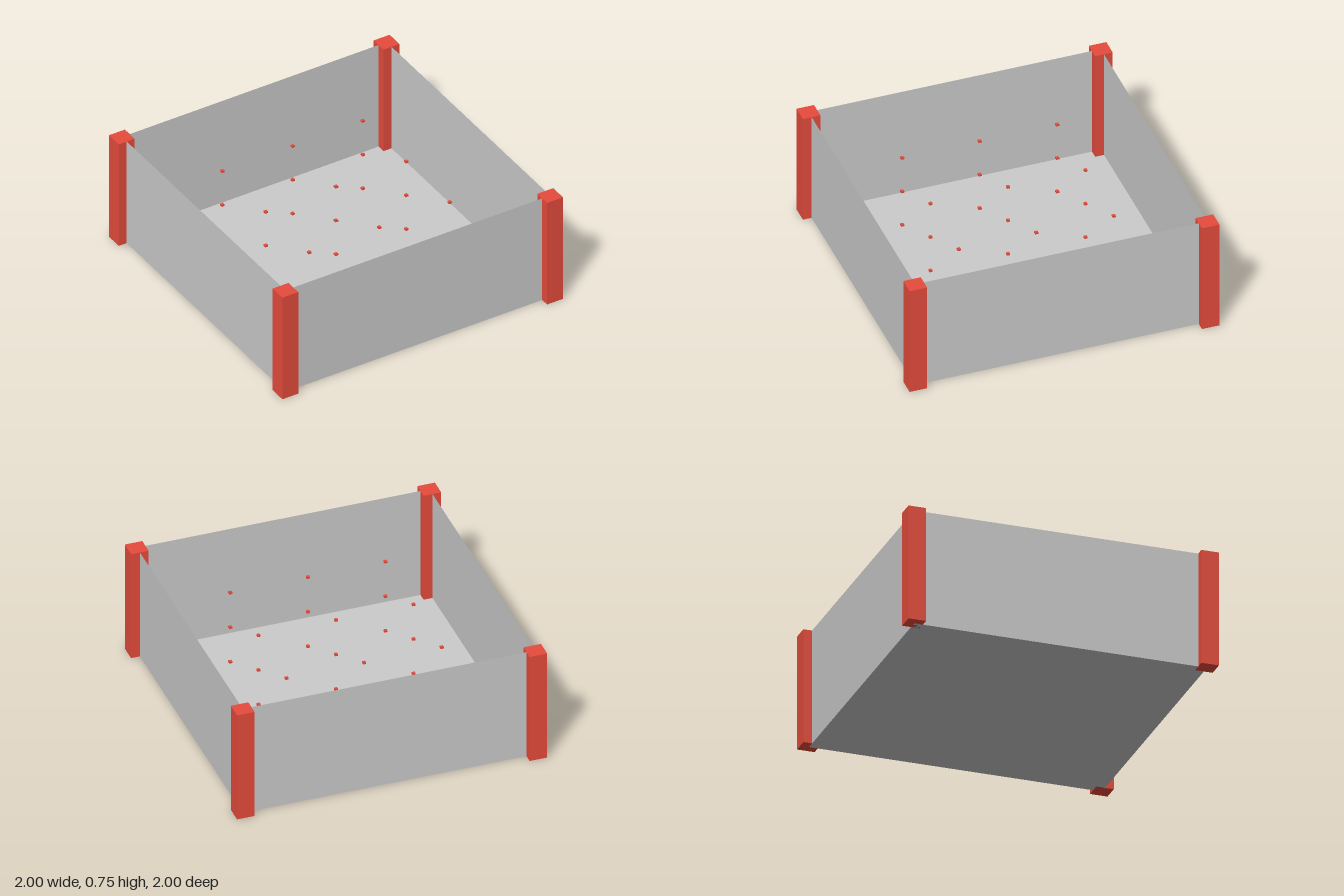
import * as THREE from 'three';

const HALF = 0.943;   // distance from centre to each wall
const HEIGHT = 0.755;
const POST = 0.113;

export function createModel() {
  const model = new THREE.Group();
  const grey = new THREE.MeshStandardMaterial({ color: 0xcccccc, side: THREE.DoubleSide });
  const red = new THREE.MeshStandardMaterial({ color: 0xe74c3c, flatShading: true });

  const add = (name, geometry, material, x, y, z, parent = model) => {
    const mesh = new THREE.Mesh(geometry, material);
    mesh.name = name;
    mesh.position.set(x, y, z);
    parent.add(mesh);
    return mesh;
  };

  // Thin floor sheet, facing up
  add('floor', new THREE.PlaneGeometry(2 * HALF, 2 * HALF), grey, 0, 0, 0).rotation.x = -Math.PI / 2;

  // Four thin walls, each facing outward
  const wallGeometry = new THREE.PlaneGeometry(2 * HALF, HEIGHT);
  ['frontWall', 'leftWall', 'backWall', 'rightWall'].forEach((name, i) => {
    const angle = i * Math.PI / 2;
    add(name, wallGeometry, grey, HALF * Math.sin(angle), HEIGHT / 2, HALF * Math.cos(angle)).rotation.y = angle;
  });

  // Square corner posts
  const postGeometry = new THREE.BoxGeometry(POST, HEIGHT, POST);
  for (const x of [-HALF, HALF]) {
    for (const z of [-HALF, HALF]) {
      const name = (z > 0 ? 'front' : 'back') + (x > 0 ? 'Left' : 'Right') + 'Post';
      add(name, postGeometry, red, x, HEIGHT / 2, z);
    }
  }

  // Three layers of tiny floating markers, nine in each
  const markers = new THREE.Group();
  markers.name = 'markers';
  model.add(markers);
  const markerGeometry = new THREE.BoxGeometry(0.02, 0.012, 0.02);
  for (const y of [0.102, 0.353, 0.604]) {
    for (const x of [-0.5, 0, 0.5]) {
      for (const z of [-0.5, 0, 0.5]) add('marker', markerGeometry, red, x, y, z, markers);
    }
  }

  return model;
}
